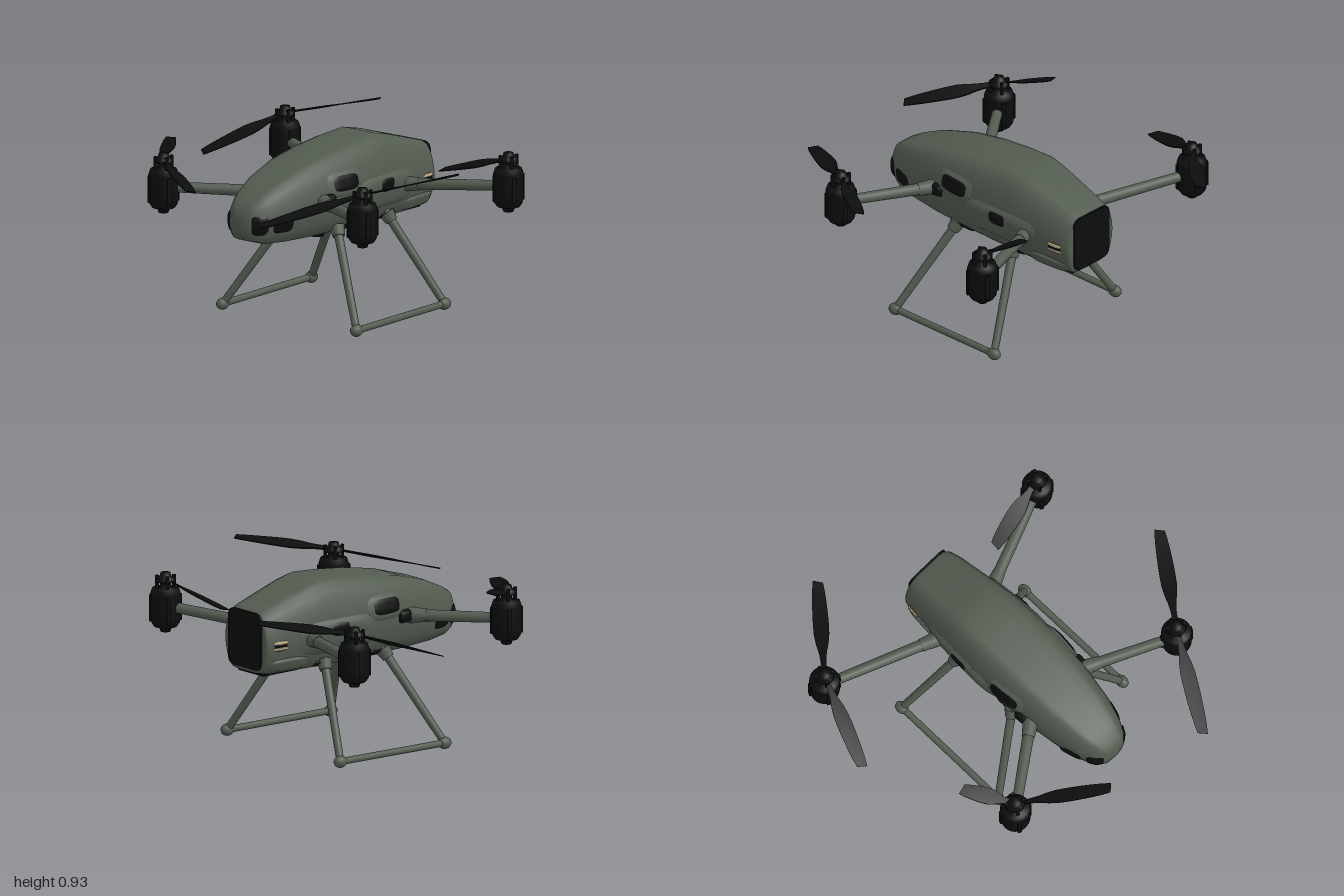
import * as THREE from 'three';

const green = new THREE.MeshStandardMaterial({ name: 'grey green shell', color: 0x535c51 });
const dark = new THREE.MeshStandardMaterial({ name: 'black', color: 0x0c0d0d, side: THREE.DoubleSide });
const beige = new THREE.MeshStandardMaterial({ name: 'beige', color: 0xb5a67f });

const CZ = 0.015; // body centre line in z
const V = (x, y, z) => new THREE.Vector3(x, y, z);

// Hull stations: x, bottom, top, half width
const stations = [
  [-0.72, 0.57, 0.64, 0.03], [-0.71, 0.54, 0.67, 0.07], [-0.68, 0.515, 0.72, 0.105], [-0.62, 0.495, 0.755, 0.14],
  [-0.5, 0.485, 0.81, 0.178], [-0.3, 0.48, 0.87, 0.21], [-0.1, 0.478, 0.905, 0.225], [0.08, 0.476, 0.925, 0.225],
  [0.24, 0.475, 0.937, 0.217], [0.34, 0.475, 0.915, 0.21], [0.48, 0.476, 0.872, 0.198], [0.6, 0.48, 0.835, 0.186],
  [0.645, 0.488, 0.82, 0.175], [0.658, 0.5, 0.81, 0.162],
];
// Half cross-section: width fraction, height fraction
const section = [[0, 0], [0.4, 0], [0.66, 0.02], [0.8, 0.08], [0.9, 0.2], [0.97, 0.35], [1, 0.48], [0.97, 0.62],
  [0.9, 0.76], [0.8, 0.88], [0.68, 0.96], [0.52, 0.995], [0.25, 1], [0, 1]];

function stationAt(x) {
  let i = 0;
  while (i < stations.length - 2 && stations[i + 1][0] < x) i++;
  const [a, b] = [stations[i], stations[i + 1]];
  const t = THREE.MathUtils.clamp((x - a[0]) / (b[0] - a[0]), 0, 1);
  return a.map((v, k) => v + (b[k] - v) * t);
}

// Half width of the hull at a given x and height
function hullWidth(x, y) {
  const [, lo, hi, w] = stationAt(x);
  const v = THREE.MathUtils.clamp((y - lo) / (hi - lo), 0.01, 0.99);
  let i = 1;
  while (i < section.length - 2 && section[i + 1][1] < v) i++;
  const [a, b] = [section[i], section[i + 1]];
  const t = (v - a[1]) / Math.max(b[1] - a[1], 1e-4);
  return w * (a[0] + (b[0] - a[0]) * THREE.MathUtils.clamp(t, 0, 1));
}

function hullGeometry() {
  const loop = [...section, ...section.slice(1, -1).reverse().map(([u, v]) => [-u, v])];
  const n = loop.length, pos = [], idx = [];
  for (const [x, lo, hi, w] of stations) for (const [u, v] of loop) pos.push(x, lo + (hi - lo) * v, CZ + u * w);
  for (let i = 0; i < stations.length - 1; i++) {
    for (let j = 0; j < n; j++) {
      const a = i * n + j, b = i * n + (j + 1) % n;
      idx.push(a, a + n, b + n, a, b + n, b);
    }
  }
  // nose and tail caps
  const last = (stations.length - 1) * n;
  for (let j = 1; j < n - 1; j++) idx.push(0, j, j + 1, last, last + j + 1, last + j);
  const g = new THREE.BufferGeometry();
  g.setAttribute('position', new THREE.Float32BufferAttribute(pos, 3));
  g.setIndex(idx);
  g.computeVertexNormals();
  return g;
}

// Rounded raised pad that follows the hull side s
function padGeometry(s, cx, cy, rx, ry, height, lift = 0.003) {
  const g = new THREE.RingGeometry(0.001, 1, 32, 6);
  const p = g.attributes.position;
  for (let i = 0; i < p.count; i++) {
    const px = p.getX(i), py = p.getY(i), r = Math.hypot(px, py) || 1;
    const k = r / Math.pow(Math.pow(Math.abs(px), 4) + Math.pow(Math.abs(py), 4), 0.25);
    const x = cx + px * k * rx, y = cy + py * k * ry;
    p.setXYZ(i, x, y, CZ + s * (hullWidth(x, y) + lift + height * (1 - Math.pow(r, 6))));
  }
  if (s < 0) g.index.array.reverse();
  g.computeVertexNormals();
  return g;
}

// Round rod between two points
function rod(a, b, ra, rb = ra) {
  const d = b.clone().sub(a);
  const g = new THREE.CylinderGeometry(rb, ra, d.length(), 16);
  g.applyQuaternion(new THREE.Quaternion().setFromUnitVectors(V(0, 1, 0), d.normalize()));
  const m = a.clone().add(b).multiplyScalar(0.5);
  return g.translate(m.x, m.y, m.z);
}

// Thin propeller blade from the hub to its tip
function bladeGeometry(hub, tip) {
  const len = hub.distanceTo(tip);
  const g = new THREE.BoxGeometry(1, 0.008, 1, 10, 1, 4);
  const p = g.attributes.position;
  const chord = [0.03, 0.032, 0.045, 0.07, 0.084, 0.086, 0.084, 0.08, 0.074, 0.066, 0.052];
  for (let i = 0; i < p.count; i++) {
    const t = p.getX(i) + 0.5, c = p.getZ(i) * chord[Math.round(t * 10)];
    const pitch = 0.4 - 0.25 * t, y = p.getY(i) * (1 - 0.4 * t);
    p.setXYZ(i, 0.03 + t * (len - 0.03) - c * t * t * 0.3, y + c * Math.sin(pitch), c * Math.cos(pitch));
  }
  const dir = tip.clone().sub(hub).normalize();
  const side = dir.clone().cross(V(0, 1, 0)).normalize();
  g.applyMatrix4(new THREE.Matrix4().makeBasis(dir, side.clone().cross(dir), side).setPosition(hub));
  g.computeVertexNormals();
  return g;
}

export function createModel() {
  const model = new THREE.Group();
  model.name = 'quadcopter';
  const add = (name, geometry, material, parent = model) => {
    const m = new THREE.Mesh(geometry, material);
    m.name = name;
    parent.add(m);
    return m;
  };

  add('hull', hullGeometry(), green);

  // Dark rounded panel on the tail
  const panel = new THREE.Shape(), w = 0.132, h = 0.153, c = 0.05;
  panel.moveTo(-w + c, -h).lineTo(w - c, -h).quadraticCurveTo(w, -h, w, -h + c).lineTo(w, h - c)
    .quadraticCurveTo(w, h, w - c, h).lineTo(-w + c, h).quadraticCurveTo(-w, h, -w, h - c)
    .lineTo(-w, -h + c).quadraticCurveTo(-w, -h, -w + c, -h);
  const tail = add('tailPanel', new THREE.ExtrudeGeometry(panel, { depth: 0.009, bevelEnabled: false }), dark);
  tail.rotation.y = Math.PI / 2;
  tail.position.set(0.656, 0.662, CZ);

  // Side details on both flanks
  for (const s of [1, -1]) {
    const flank = new THREE.Group();
    flank.name = s > 0 ? 'frontFlank' : 'backFlank';
    model.add(flank);
    const pad = (name, mat, ...a) => add(name, padGeometry(s, ...a), mat, flank);
    pad('sideFairing', green, 0.2, 0.65, 0.25, 0.09, 0.016);
    pad('tailBulge', green, 0.51, 0.53, 0.12, 0.04, 0.014);
    pad('intakeFrame', green, -0.12, 0.75, 0.125, 0.065, 0.012);
    pad('intake', dark, -0.12, 0.755, 0.1, 0.046, 0.012, 0.008);
    pad('sensorWindow', dark, 0.2, 0.685, 0.055, 0.036, 0.008, 0.017);
    pad('noseSensor', dark, -0.672, 0.605, 0.036, 0.052, 0.008);
    pad('noseSidePatch', dark, -0.55, 0.6, 0.06, 0.045, 0.008);
    pad('armSocket', dark, -0.25, 0.68, 0.045, 0.035, 0.024);
    pad('legPlate', dark, -0.09, 0.502, 0.06, 0.018, 0.012);
    pad('legPlate', dark, 0.27, 0.502, 0.06, 0.018, 0.012);
    pad('ventRecess', dark, 0.575, 0.645, 0.04, 0.028, 0.004);
    for (const y of [0.63, 0.662]) pad('vent', beige, 0.575, y, 0.042, 0.009, 0.006, 0.006);
  }

  // Belly patches
  for (const [x, z, r] of [[-0.37, 0, 0.06], [0.05, 0, 0.05], [-0.2, 0.09, 0.04], [-0.2, -0.06, 0.04]]) {
    add('bellySensor', new THREE.CylinderGeometry(r, r * 0.9, 0.02, 20).translate(x, 0.475, CZ + z), dark);
  }
  add('bellyStrip', new THREE.BoxGeometry(0.24, 0.009, 0.2).translate(0.5, 0.476, CZ), dark);

  // Landing skids
  for (const s of [1, -1]) {
    const skid = new THREE.Group();
    skid.name = s > 0 ? 'frontSkid' : 'backSkid';
    model.add(skid);
    const z = (d) => CZ + s * d;
    const feet = [V(-0.315, 0.035, z(0.458)), V(0.395, 0.047, z(0.455))];
    const tops = [V(-0.125, 0.54, z(0.155)), V(0.255, 0.54, z(0.155))];
    add('skidBar', rod(feet[0], feet[1], 0.018), green, skid);
    feet.forEach((f, i) => {
      add('leg', rod(f, tops[i], 0.02, 0.024), green, skid);
      const top = tops[i].clone().lerp(f, 0.05);
      add('legSocket', rod(top, tops[i].clone().lerp(f, 0.14), 0.042, 0.032), green, skid);
      const joint = add('skidJoint', new THREE.SphereGeometry(0.034, 16, 12), green, skid);
      joint.scale.set(1.15, 0.95, 0.9);
      joint.position.copy(f);
    });
  }

  // Arms, motors and propellers: motor centre, arm root, blade tips
  const rotors = [
    { at: [-0.51, 0.68], root: V(-0.27, 0.675, 0.19), tips: [V(-0.99, 0.705, 0.39), V(-0.09, 0.91, 0.98)] },
    { at: [0.58, 0.75], root: V(0.355, 0.65, 0.16), tips: [V(0.505, 0.73, 0.36)] },
    { at: [0.605, -0.8], root: V(0.355, 0.65, -0.14), tips: [V(0.15, 0.675, -0.98), V(0.98, 0.89, -0.47)] },
    { at: [-0.6, -0.605], root: V(-0.28, 0.675, -0.16), tips: [V(-0.88, 0.78, -0.18), V(-0.36, 0.885, -0.76)] },
  ];
  const motorProfile = [[0, 0.55], [0.026, 0.552], [0.034, 0.575], [0.06, 0.58], [0.074, 0.6], [0.08, 0.63], [0.08, 0.755],
    [0.07, 0.785], [0.03, 0.79], [0.03, 0.815], [0.05, 0.82], [0.05, 0.84], [0.03, 0.848], [0.026, 0.868], [0, 0.87]]
    .map(([r, y]) => new THREE.Vector2(r, y));
  for (const { at: [x, z], root, tips } of rotors) {
    const rotor = new THREE.Group();
    rotor.name = 'rotor';
    model.add(rotor);
    const end = V(x, 0.69, z);
    add('arm', rod(root, end, 0.032, 0.027), green, rotor);
    add('armSleeve', rod(root, root.clone().lerp(end, 0.22), 0.046, 0.034), green, rotor);
    add('motor', new THREE.LatheGeometry(motorProfile, 24).translate(x, 0, z), dark, rotor);
    // mounting lugs around the motor and the hub
    for (let i = 0; i < 4; i++) {
      const a = i * Math.PI / 2 + 0.5, cs = Math.cos(a), sn = Math.sin(a);
      add('motorLug', new THREE.BoxGeometry(0.022, 0.14, 0.022).rotateY(-a).translate(x + cs * 0.075, 0.68, z + sn * 0.075), dark, rotor);
      add('hubPin', new THREE.CylinderGeometry(0.01, 0.01, 0.07, 8).translate(x + cs * 0.045, 0.82, z + sn * 0.045), dark, rotor);
    }
    for (const tip of tips) add('propellerBlade', bladeGeometry(V(x, 0.832, z), tip), dark, rotor);
  }
  return model;
}
